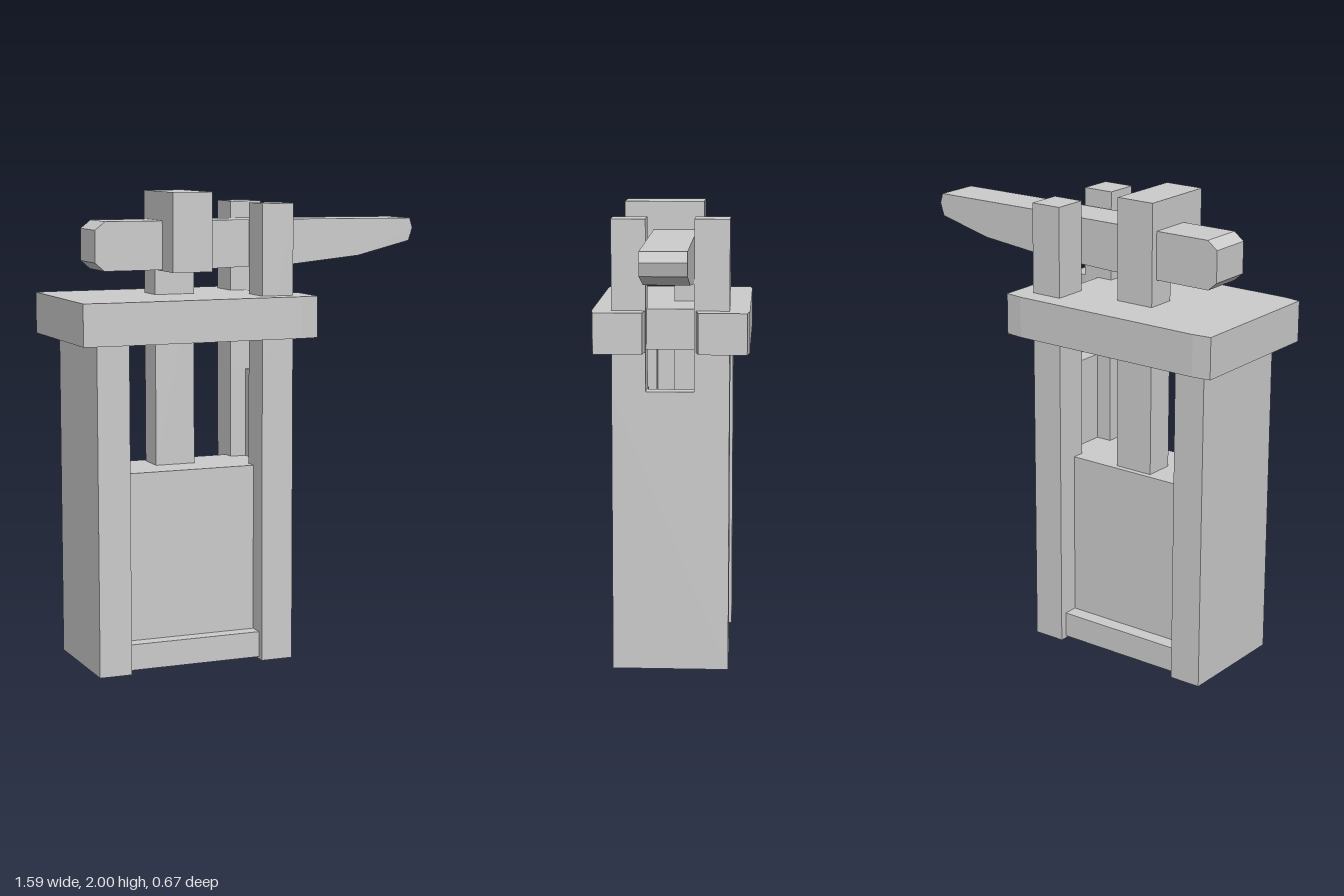
import * as THREE from 'three';

const material = new THREE.MeshStandardMaterial({ color: 0xcccccc, flatShading: true });

function addMesh(group, name, geometry) {
  const mesh = new THREE.Mesh(geometry, material);
  mesh.name = name;
  group.add(mesh);
}

// Box given by its limits on each axis
function box([x0, x1], [y0, y1], [z0, z1]) {
  return new THREE.BoxGeometry(x1 - x0, y1 - y0, z1 - z0)
    .translate((x0 + x1) / 2, (y0 + y1) / 2, (z0 + z1) / 2);
}

function extrude(points, depth, holes = []) {
  const shape = new THREE.Shape(points.map(([x, y]) => new THREE.Vector2(x, y)));
  for (const hole of holes) shape.holes.push(new THREE.Path(hole.map(([x, y]) => new THREE.Vector2(x, y))));
  return new THREE.ExtrudeGeometry(shape, { depth, bevelEnabled: false });
}

// Plan outline of [x, z] points raised from y0 to y1
function prism(points, y0, y1) {
  return extrude(points.map(([x, z]) => [x, -z]), y1 - y0).rotateX(-Math.PI / 2).translate(0, y0, 0);
}

// Side panel plan: a board with a groove on its inner face
function groovedPanel(outer, inner, floor) {
  return [[outer, 0.25], [inner, 0.25], [inner, 0.1], [floor, 0.1],
    [floor, -0.1], [inner, -0.1], [inner, -0.25], [outer, -0.25]];
}

// Plan of a filling piece with a tongue at each end
function tongued(halfDepth) {
  const [t0, a, b, t1, h] = [-0.64, -0.58, 0.01, 0.08, 0.1];
  return [[t0, h], [a, h], [a, halfDepth], [b, halfDepth], [b, h], [t1, h],
    [t1, -h], [b, -h], [b, -halfDepth], [a, -halfDepth], [a, -h], [t0, -h]];
}

export function createModel() {
  const group = new THREE.Group();

  // Side panels; the taller one ends in a two-pronged fork
  addMesh(group, 'rightPanel', prism(groovedPanel(-0.72, -0.58, -0.64), 0, 1.39));
  addMesh(group, 'leftPanel', prism(groovedPanel(0.15, 0.01, 0.08), 0, 1.22));
  for (const [name, z] of [['frontProng', [0.105, 0.25]], ['backProng', [-0.25, -0.1]]]) {
    addMesh(group, name, box([0.01, 0.15], [1.22, 1.95], z));
  }

  // Filling between the panels
  addMesh(group, 'bottomRail', prism(tongued(0.22), 0.01, 0.12));
  addMesh(group, 'core', prism(tongued(0.155), 0.12, 0.835));

  // Top plate with a notch at the fork
  addMesh(group, 'topPlate', prism([
    [-0.8, 0.322], [-0.72, 0.333], [0.15, 0.333], [0.23, 0.323], [0.23, 0.115], [0.15, 0.107], [0.08, 0.107],
    [0.08, -0.107], [0.15, -0.107], [0.23, -0.12], [0.23, -0.325], [0.15, -0.335], [-0.72, -0.335], [-0.8, -0.325],
  ], 1.39, 1.565));

  // Plunger: slim shaft and a wide head with an opening for the lever
  const head = [[-0.13, 0.835], [0, 0.835], [0, 1.67], [0.215, 1.67], [0.215, 2], [-0.13, 2]];
  const opening = [[-0.1, 1.68], [0.09, 1.68], [0.09, 1.875], [-0.1, 1.875]];
  addMesh(group, 'plunger', extrude(head.map(([z, y]) => [-z, y]), 0.175,
    [opening.map(([z, y]) => [-z, y])]).rotateY(Math.PI / 2).translate(-0.375, 0, 0));

  // Tapering lever
  addMesh(group, 'lever', extrude([
    [-0.67, 1.71], [-0.63, 1.675], [-0.15, 1.675], [0.02, 1.68], [0.22, 1.685], [0.53, 1.715],
    [0.775, 1.775], [0.793, 1.83], [0.78, 1.873], [0.22, 1.877], [-0.625, 1.88], [-0.67, 1.845],
  ], 0.19).translate(0, 0, -0.1));

  return group;
}
